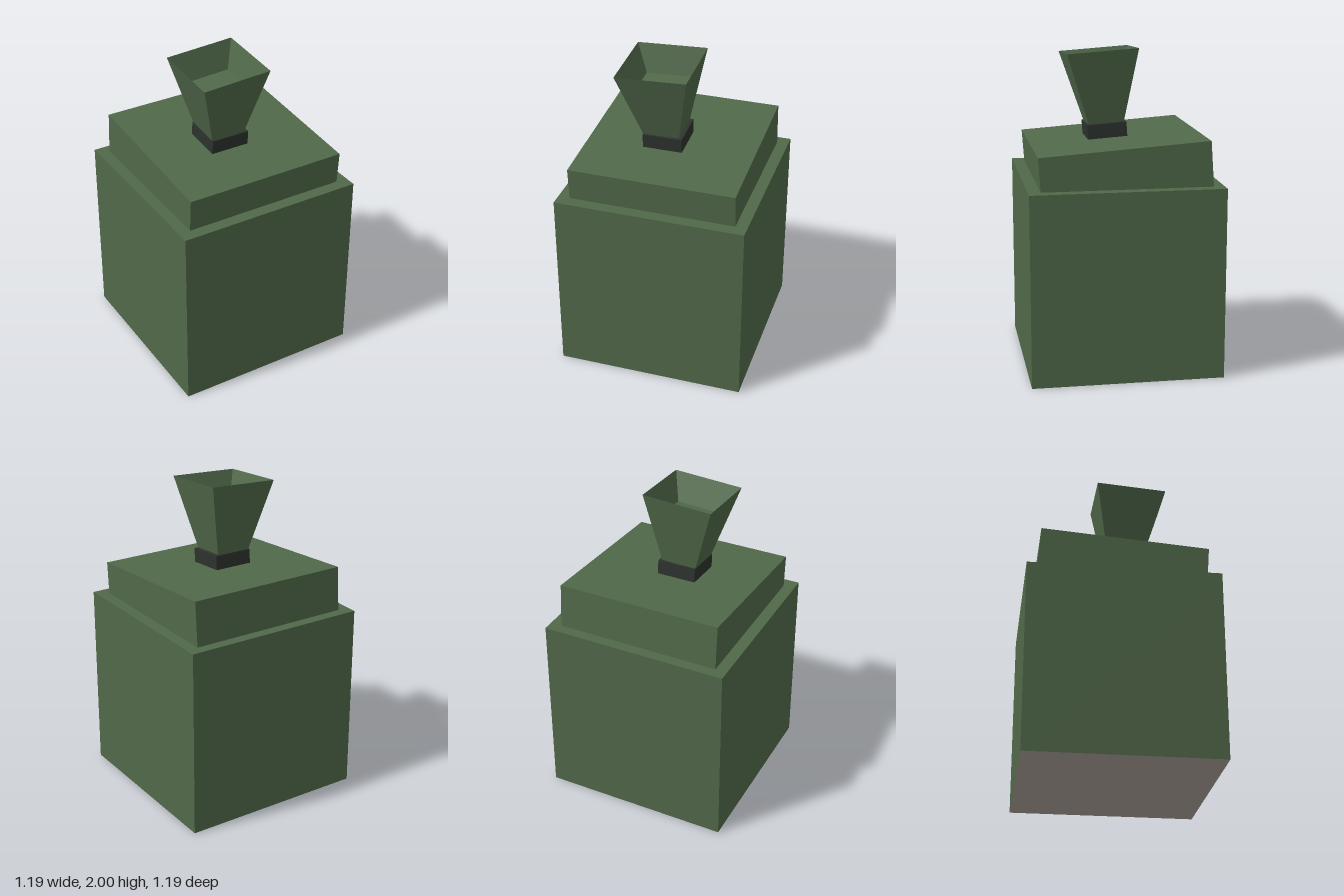
import * as THREE from 'three';

const mat = (name, color) => {
  const m = new THREE.MeshStandardMaterial({ color, flatShading: true });
  m.name = name;
  return m;
};

export function createModel() {
  const green = mat('olive green', 0x51694a);
  const dark = mat('charcoal', 0x2d332e);
  const pale = mat('pale underside', 0xb2a7a0);

  const model = new THREE.Group();
  const add = (name, geometry, material, x, y, z, pitch = 0, roll = 0) => {
    const mesh = new THREE.Mesh(geometry, material);
    mesh.name = name;
    mesh.position.set(x, y, z);
    mesh.rotation.set(pitch, 0, roll);
    model.add(mesh);
    return mesh;
  };
  const tilt = 0.07;

  // Main block, with a differently coloured underside
  add('body', new THREE.BoxGeometry(1.194, 1.197, 1.194),
    [green, green, green, pale, green, green], 0, 0.5985, 0);

  // Lid leaning down towards the front, sunk into the body
  add('lid', new THREE.BoxGeometry(1.046, 0.36, 1.048), green, 0, 1.261, 0, tilt);

  // Dark collar standing on the lid
  add('collar', new THREE.BoxGeometry(0.25, 0.13, 0.25), dark, -0.04, 1.463, 0.051, tilt);

  // Square flared funnel with a sharp rim and a sunken floor: half widths and heights
  const k = Math.SQRT2;
  const profile = [[0, 0], [0.113, 0], [0.2235, 0.45], [0.162, 0.275], [0, 0.275]]
    .map(([half, y]) => new THREE.Vector2(half * k, y));
  add('funnel', new THREE.LatheGeometry(profile, 4, Math.PI / 4), green,
    -0.048, 1.526, 0.055, tilt, 0.052);

  return model;
}
